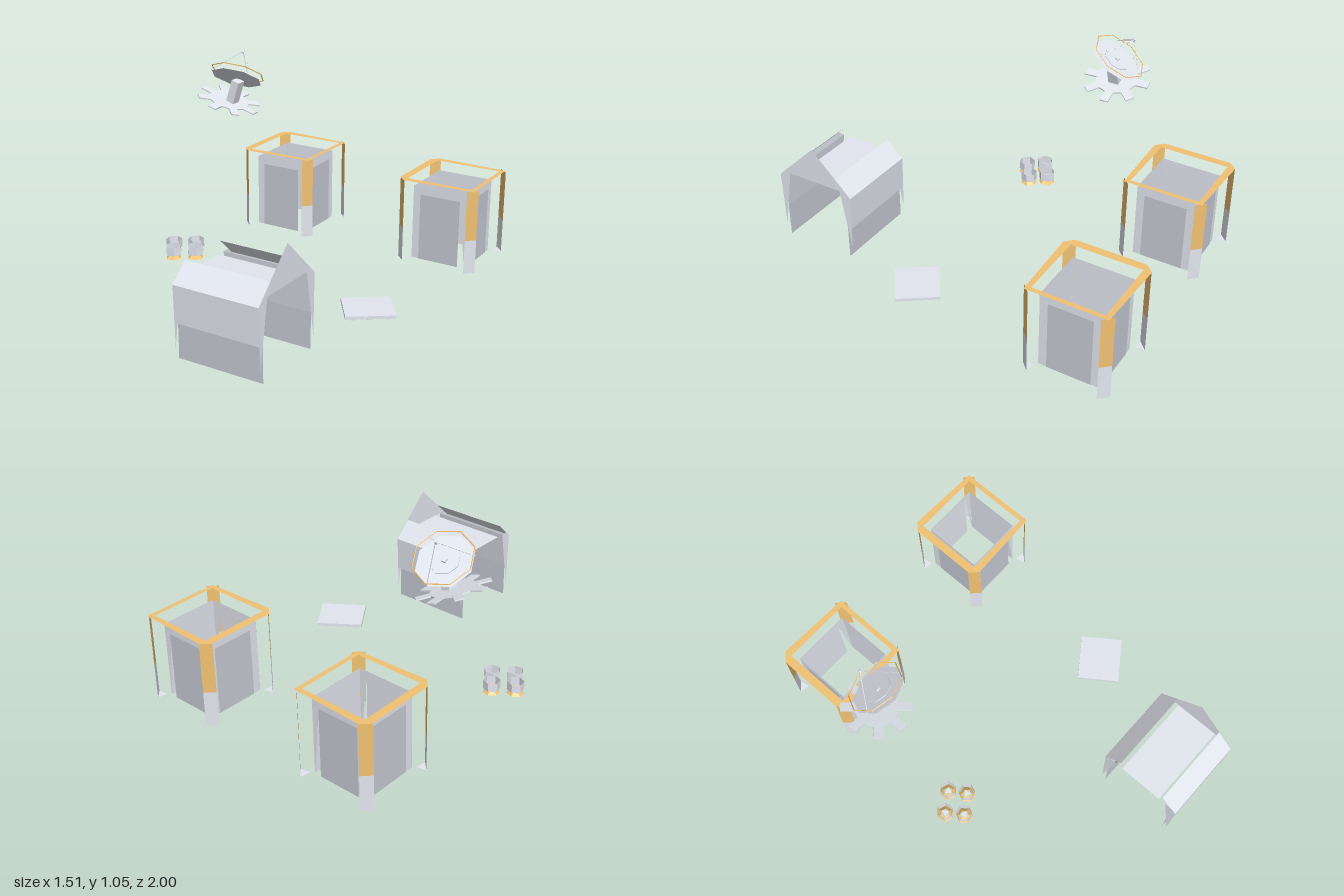
import * as THREE from 'three';

const material = color => new THREE.MeshStandardMaterial({ color, flatShading: true, side: THREE.DoubleSide });
const pale = material(0xe2e6ee);
const panelGrey = material(0xc6cad3);
const gold = material(0xf0c272);

function add(parent, name, geometry, mat = pale, pos = [0, 0, 0]) {
  const m = new THREE.Mesh(geometry, mat);
  m.name = name;
  m.position.set(...pos);
  parent.add(m);
  return m;
}

// Flat convex polygons, each a list of [x, y, z] corners
function polys(...list) {
  const v = [];
  for (const p of list)
    for (let i = 1; i < p.length - 1; i++) v.push(...p[0], ...p[i], ...p[i + 1]);
  const g = new THREE.BufferGeometry();
  g.setAttribute('position', new THREE.Float32BufferAttribute(v, 3));
  g.computeVertexNormals();
  return g;
}

// Upright or sloping rectangle running along x, facing +z
const sheet = (x0, x1, y0, z0, y1, z1) => polys([[x0, y0, z0], [x1, y0, z0], [x1, y1, z1], [x0, y1, z1]]);

// Walled booth inside a frame of four diagonal corner posts
function createBooth(x, z) {
  const g = new THREE.Group();
  g.name = 'booth';
  g.position.set(x, 0, z);

  // Each wall: turn, span and distance from the centre; slits stay open at the +x end
  const walls = [[0, -0.152, 0.112, 0.155], [Math.PI, -0.112, 0.152, 0.155],
    [Math.PI / 2, -0.154, 0.154, 0.152], [-Math.PI / 2, -0.154, 0.154, 0.152]];
  for (const [turn, x0, x1, out] of walls) {
    const wall = new THREE.Group();
    wall.name = 'wall';
    wall.rotation.y = turn;
    add(wall, 'wallSheet', sheet(x0, x1, 0, out, 0.4, out));
    add(wall, 'wallPanel', sheet(-0.112, 0.112, 0, out + 0.002, 0.36, out + 0.002), panelGrey);
    g.add(wall);
  }
  // Tapered blades closing the side walls' ends
  for (const sx of [-1, 1]) for (const sz of [-1, 1]) {
    const d = sz * 0.154;
    add(g, 'wallBlade', polys([[sx * 0.112, 0.4, d], [sx * 0.152, 0.4, d], [sx * 0.15, 0, d], [sx * 0.112, 0.36, d]]));
  }

  // Posts with a pale foot section and a triangular foot plate
  const a = 0.22, b = 0.176;
  for (const sx of [-1, 1]) for (const sz of [-1, 1]) {
    const strip = (y0, y1) => polys([
      [sx * a, y0, sz * b], [sx * b, y0, sz * a], [sx * b, y1, sz * a], [sx * a, y1, sz * b]]);
    add(g, 'postLower', strip(0, 0.18));
    add(g, 'postUpper', strip(0.18, 0.445), gold);
    add(g, 'footPlate', polys([[sx * a, 0.002, sz * b], [sx * b, 0.002, sz * a], [sx * 0.168, 0.002, sz * 0.168]]));
  }

  // Flat top ring with two cut corners
  const pts = l => l.map(p => new THREE.Vector2(...p));
  const ring = new THREE.Shape(pts([[-0.22, -0.18], [-0.18, -0.22], [0.207, -0.205], [0.207, 0.205], [-0.18, 0.22], [-0.22, 0.18]]));
  ring.holes.push(new THREE.Path(pts([[-0.177, -0.18], [-0.177, 0.18], [0.182, 0.18], [0.182, -0.18]])));
  add(g, 'topRing', new THREE.ShapeGeometry(ring), gold, [0, 0.445, 0]).rotation.x = -Math.PI / 2;
  return g;
}

// Hut with stepped side walls, open roof strips and one gable
function createHut() {
  const g = new THREE.Group();
  g.name = 'hut';
  g.position.set(0.263, 0, 0.778);
  const w = 0.221, e = 0.221;
  for (const s of [1, -1]) {
    const side = new THREE.Group();
    side.name = 'hutSide';
    side.rotation.y = s > 0 ? 0 : Math.PI;
    add(side, 'lowerWall', sheet(-w, w, 0, e - 0.03, 0.18, e - 0.03), panelGrey);
    add(side, 'innerWall', sheet(-w, w, 0.18, e - 0.03, 0.385, e - 0.065));
    add(side, 'upperWall', sheet(-w, w, 0.18, e - 0.005, 0.36, e));
    add(side, 'roofStrip', sheet(-w, w, 0.36, e, 0.445, e - 0.09));
    for (const x of [-w, w])
      add(side, 'wallEnd', polys([[x, 0.06, e - 0.008], [x, 0.36, e], [x, 0.385, e - 0.025], [x, 0.385, e - 0.065]]));
    g.add(side);
  }
  add(g, 'ceiling', polys([[-w, 0.385, 0.115], [w, 0.385, 0.115], [w, 0.385, -0.115], [-w, 0.385, -0.115]]));
  add(g, 'gable', polys([[w, 0.385, e - 0.025], [w, 0.385, 0.025 - e], [w, 0.573, 0]]));
  return g;
}

// Low slab on runners
function createSlab() {
  const g = new THREE.Group();
  g.name = 'slab';
  g.position.set(0.53, 0, 0.14);
  g.rotation.y = 0.62;
  add(g, 'slabTop', new THREE.BoxGeometry(0.24, 0.016, 0.217), pale, [0, 0.037, 0]);
  for (const x of [-0.08, 0, 0.08])
    add(g, 'runner', new THREE.BoxGeometry(0.025, 0.008, 0.2), pale, [x, 0.025, 0]);
  return g;
}

// Four hexagonal canisters over flared gold skirts
function createCanisters() {
  const g = new THREE.Group();
  g.name = 'canisters';
  [[-0.56, 0.03], [-0.505, 0.11], [-0.655, 0.095], [-0.597, 0.175]].forEach(([x, z], i) => {
    const c = new THREE.Group();
    c.name = 'canister';
    c.position.set(x, 0, z);
    c.rotation.y = 0.2 + i * 0.5;
    add(c, 'shell', new THREE.CylinderGeometry(0.042, 0.042, 0.045, 6, 1, true), pale, [0, 0.1025, 0]);
    add(c, 'skirt', new THREE.CylinderGeometry(0.022, 0.043, 0.016, 6, 1, true), gold, [0, 0.067, 0]);
    add(c, 'core', new THREE.CylinderGeometry(0.022, 0.022, 0.004, 3), pale, [0, 0.076, 0]);
    g.add(c);
  });
  return g;
}

// Tilted dish on a toothed base plate
function createAntenna() {
  const g = new THREE.Group();
  g.name = 'antenna';

  const base = new THREE.Group();
  base.name = 'antennaBase';
  base.position.set(-0.595, 0.788, -0.34);
  base.rotation.z = -0.31;
  add(base, 'basePlate', new THREE.CylinderGeometry(0.115, 0.115, 0.007, 8));
  for (let i = 0; i < 8; i++) {
    const a = i * Math.PI / 4 - 0.05;
    add(base, 'baseTab', new THREE.BoxGeometry(0.08, 0.007, 0.045), pale,
      [Math.cos(a) * 0.13, 0, Math.sin(a) * 0.13]).rotation.y = -a;
  }
  add(base, 'pillar', new THREE.BoxGeometry(0.045, 0.125, 0.055), pale, [0.022, 0.064, 0]);
  g.add(base);

  // Flat dish floor, raised gold rim and feed tripod
  const dish = new THREE.Group();
  dish.name = 'dish';
  dish.position.set(-0.553, 0.925, -0.357);
  dish.rotation.set(-0.58, 0, 0.08);
  add(dish, 'dishFloor', new THREE.CircleGeometry(0.138, 8), pale, [0, -0.014, 0]).rotation.x = -Math.PI / 2;
  add(dish, 'dishCentre', new THREE.CylinderGeometry(0.07, 0.07, 0.004, 8), pale, [0, -0.011, 0]);
  add(dish, 'hub', new THREE.BoxGeometry(0.02, 0.01, 0.02), pale, [0, -0.005, 0]);
  add(dish, 'rim', new THREE.TorusGeometry(0.144, 0.003, 4, 8), gold, [0, 0.015, 0]).rotation.x = -Math.PI / 2;
  const apex = new THREE.Vector3(0, 0.138, 0);
  for (let i = 0; i < 3; i++) {
    const a = -Math.PI / 2 + i * Math.PI * 2 / 3;
    const foot = new THREE.Vector3(Math.cos(a) * 0.14, 0, Math.sin(a) * 0.14);
    add(dish, 'strut', new THREE.TubeGeometry(new THREE.LineCurve3(foot, apex), 1, 0.002, 3));
  }
  add(dish, 'feed', new THREE.CylinderGeometry(0.007, 0.007, 0.014, 6), pale, [0, 0.136, 0]);
  g.add(dish);
  return g;
}

export function createModel() {
  const model = new THREE.Group();
  model.name = 'outpost';
  model.add(createBooth(-0.447, -0.778), createBooth(0.53, -0.778));
  model.add(createHut(), createSlab(), createCanisters(), createAntenna());
  return model;
}
